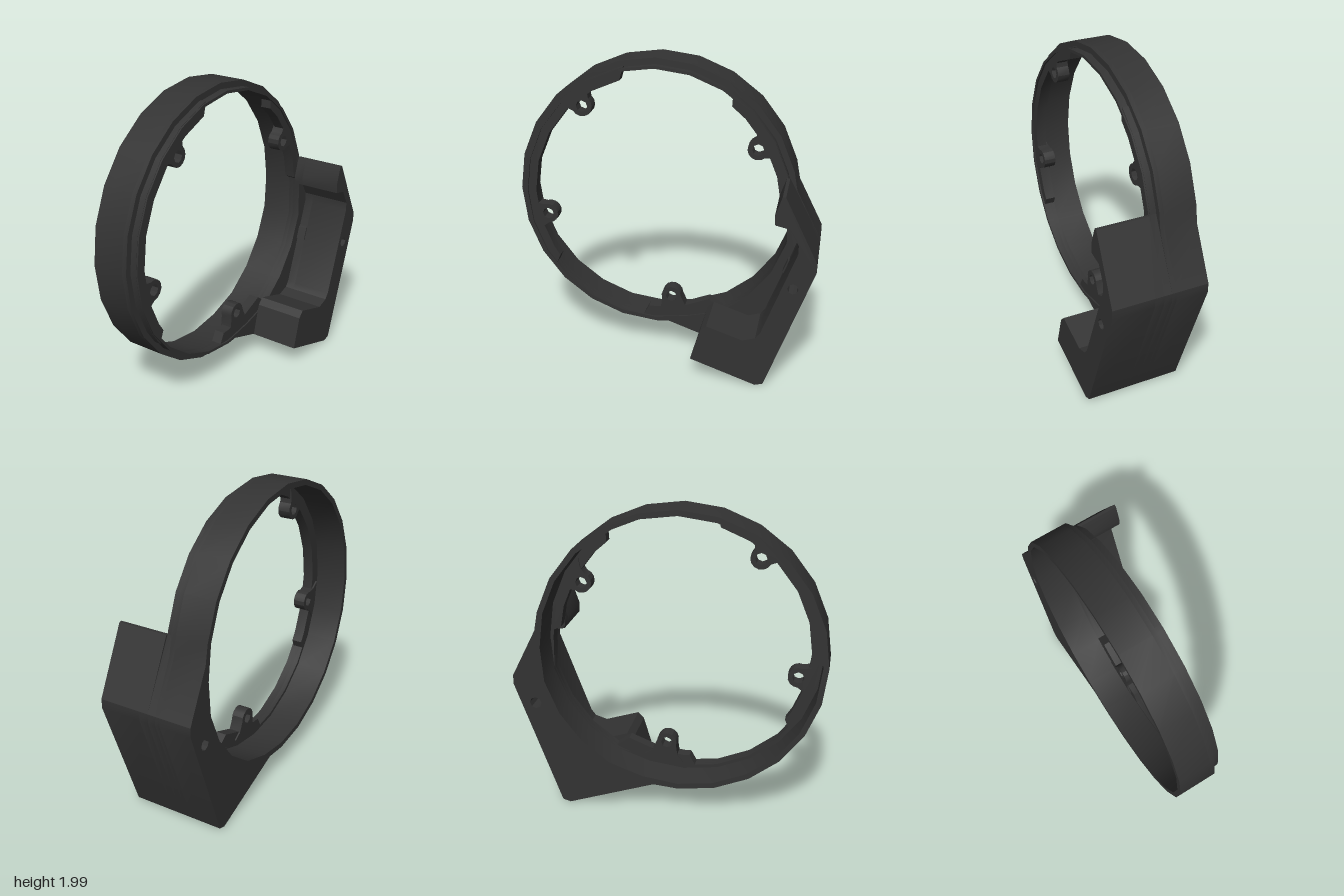
import * as THREE from 'three';
import { toCreasedNormals } from 'three/addons/utils/BufferGeometryUtils.js';

// Profiles are drawn in a (u, v) plane with u = -z and v = y, then extruded along x.
const CU = -0.08, CV = 1.092, STEP = 15;
const material = new THREE.MeshStandardMaterial({ color: 0x333333 });

const polar = (r, deg, u = CU, v = CV) => {
  const a = THREE.MathUtils.degToRad(deg);
  return new THREE.Vector2(u + r * Math.cos(a), v + r * Math.sin(a));
};
const points = (list) => list.map(([u, v]) => new THREE.Vector2(u, v));

// Arc points from one angle to another, with corners on the shared 15 degree steps
function arc(r, from, to) {
  const out = [polar(r, from)];
  for (let a = (Math.floor(from / STEP) + 1) * STEP; a < to - 0.01; a += STEP) out.push(polar(r, a));
  out.push(polar(r, to));
  return out;
}

function circle(u, v, r, n) {
  return Array.from({ length: n }, (_, i) => polar(r, i * 360 / n, u, v));
}

function plate(name, outline, holes, x0, x1) {
  const shape = new THREE.Shape(outline);
  holes.forEach((h) => shape.holes.push(new THREE.Path(h)));
  const geo = new THREE.ExtrudeGeometry(shape, { depth: x1 - x0, bevelEnabled: false });
  geo.translate(0, 0, x0);
  geo.rotateY(Math.PI / 2);
  const mesh = new THREE.Mesh(toCreasedNormals(geo, THREE.MathUtils.degToRad(25)), material);
  mesh.name = name;
  return mesh;
}

// Round opening, slightly wider where it cuts into the housing
function opening(r) {
  return Array.from({ length: 24 }, (_, i) => {
    const a = i * STEP;
    return polar(a >= 300 && a <= 345 ? 0.885 : r, a);
  });
}

// Flange segment inside the ring with bevelled ends
function flange(from, to, r) {
  return [...arc(0.87, from, to), ...arc(r, from + 3, to - 3).reverse()];
}

// Screw lug: rounded nose pointing to the ring centre, flared into the flange
function lug(u, v, flangeR) {
  const dir = new THREE.Vector2(CU - u, CV - v);
  const depth = flangeR - dir.length();
  dir.normalize();
  const place = (inward, side) => new THREE.Vector2(
    u + dir.x * inward - dir.y * side, v + dir.y * inward + dir.x * side);
  const outline = [];
  for (let a = -100; a <= 100; a += 25) {
    const t = THREE.MathUtils.degToRad(a);
    outline.push(place(0.066 * Math.cos(t), 0.066 * Math.sin(t)));
  }
  outline.push(place(-depth, 0.085), place(-depth - 0.04, 0.13));
  outline.push(place(-depth - 0.04, -0.13), place(-depth, -0.085));
  return outline;
}

export function createModel() {
  const group = new THREE.Group();
  group.name = 'ringHousing';

  // Ring joined to the solid base of the housing, in three depths
  const corner = points([[0.64, 0.005], [0.69, 0.02], [0.98, 0.83], [0.98, 0.89]]);
  const screwHole = circle(0.84, 0.71, 0.038, 8);
  const outer = [...arc(0.907, 7, 280), ...corner];
  const lip = [...arc(0.868, 14, 275), ...corner];
  group.add(plate('ringWall', outer, [opening(0.872), screwHole], -0.31, -0.1));
  group.add(plate('ringLedge', outer, [opening(0.85), screwHole], -0.1, -0.07));
  group.add(plate('ringLip', lip, [opening(0.85), screwHole], -0.07, -0.02));

  // C-shaped housing that stands out beside the ring
  const outside = [[0.22, 0.148], [0.64, 0.005], [0.69, 0.02], [0.98, 0.83], [0.98, 0.89], [0.775, 1.3]];
  const upperArm = [[0.755, 1.3], [0.715, 1.18], [0.72, 1.12], [0.81, 1.1], [0.865, 1.0], [0.865, 0.945]];
  const notch = [[0.8, 0.77], [0.83, 0.765], [0.795, 0.67], [0.766, 0.68]];
  const lowerArm = [[0.66, 0.385], [0.63, 0.345], [0.55, 0.32], [0.32, 0.395], [0.28, 0.355]];
  const profile = points([...outside, ...upperArm, ...lowerArm]);
  const notched = points([...outside, ...upperArm, ...notch, ...lowerArm]);
  const smallHole = circle(0.845, 0.71, 0.034, 8);
  // The notch cuts only the first layer, beside the ring
  notched.splice(12, 4, ...points([[0.801, 0.77], [0.79, 0.765], [0.76, 0.685], [0.77, 0.68]]));
  group.add(plate('housingNotchLayer', notched, [smallHole], -0.02, 0.04));
  group.add(plate('housing', profile, [smallHole], 0.04, 0.31));

  // Inner flange segments
  [[103, 218, 0.795], [2, 56, 0.8], [264, 301, 0.775]].forEach(([from, to, r]) =>
    group.add(plate('flange', flange(from, to, r), [], -0.1, -0.03)));

  // Screw lugs
  [[-0.545, 1.68, 0.795], [-0.8, 0.935, 0.795], [0.57, 1.465, 0.8], [0.03, 0.405, 0.775]]
    .forEach(([u, v, r]) =>
      group.add(plate('screwLug', lug(u, v, r), [circle(u, v, 0.037, 8)], -0.11, -0.03)));

  return group;
}
